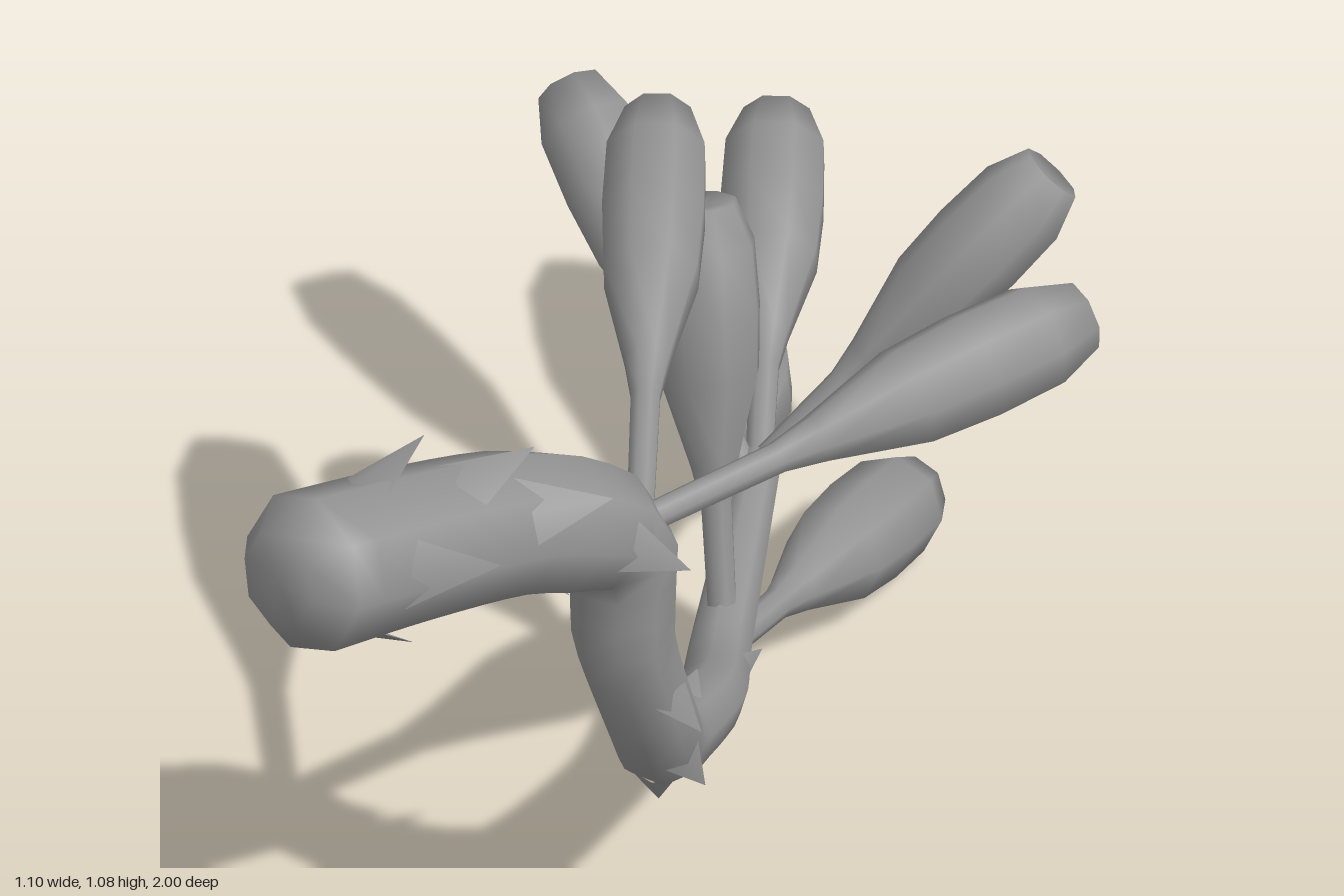
import * as THREE from 'three';
import { mergeGeometries, toCreasedNormals } from 'three/addons/utils/BufferGeometryUtils.js';

const V = (x, y, z) => new THREE.Vector3(x, y, z);
const UP = V(0, 1, 0);
const SIDES = 8;
const RINGS = 40;

// centreline of the main stem, from the blunt end to the last fork
const stemCurve = new THREE.CatmullRomCurve3([
  V(-0.125, 0.985, 0.975), V(-0.04, 0.935, 0.77), V(0.04, 0.875, 0.58), V(0.12, 0.775, 0.425),
  V(0.125, 0.6, 0.41), V(0.13, 0.42, 0.335), V(0.11, 0.315, 0.25), V(0.07, 0.225, 0.02),
  V(0.01, 0.19, -0.14), V(-0.08, 0.265, -0.45),
], false, 'catmullrom', 0.35);

// stem radius along its length: [fraction, radius]
const TAPER = [[0, 0.068], [0.025, 0.114], [0.28, 0.1], [0.37, 0.073], [0.55, 0.066], [0.65, 0.054], [0.82, 0.044], [1, 0.032]];
function stemRadius(u) {
  const i = Math.max(1, TAPER.findIndex(([f]) => f >= u));
  const [a, ra] = TAPER[i - 1], [b, rb] = TAPER[i];
  return THREE.MathUtils.mapLinear(u, a, b, ra, rb);
}

// bud outline from stalk to dented tip: [fraction of length, radius]
const BUD = [[0, 0.02], [0.3, 0.022], [0.39, 0.034], [0.6, 0.071], [0.75, 0.077], [0.9, 0.074], [1, 0.05], [0.985, 0]];

// buds: base, tip, thickness factor
const BUDS = [
  [V(0.15, 0.79, 0.39), V(0.52, 0.858, -0.2), 1.02],
  [V(0.14, 0.79, 0.39), V(-0.145, 0.94, -0.27), 0.97],
  [V(0.0, 0.19, -0.17), V(-0.112, 0.765, -0.335), 1],
  [V(0.015, 0.19, -0.12), V(0.018, 0.065, -0.73), 1],
  [V(-0.06, 0.25, -0.4), V(-0.51, 0.55, -0.765), 0.94],
  [V(-0.07, 0.26, -0.43), V(-0.3, 0.43, -0.975), 0.97],
  [V(-0.06, 0.25, -0.4), V(-0.315, 0.125, -0.87), 0.97],
  [V(-0.08, 0.26, -0.43), V(0.225, 0.655, -0.735), 0.92],
];

// pointed scales: fraction along the stem, outward direction
const SCALES = [
  [0.09, V(0.2, -1, 0)], [0.1, V(1, 0.1, 0)], [0.1, V(-0.3, 1, 0)], [0.16, V(-1, -0.2, 0)],
  [0.17, V(0.3, 1, 0)], [0.2, V(-0.5, -1, 0)], [0.22, V(1, 0.6, 0)], [0.3, V(-0.6, -1, 0.4)],
  [0.32, V(1, 0, 0.3)], [0.4, V(0.2, 0, -1)], [0.47, V(-0.2, 0, -1)], [0.49, V(1, 0, 0.2)],
  [0.57, V(1, -0.2, 0.4)], [0.6, V(0, -1, 0.3)], [0.66, V(0, 1, 0)], [0.72, V(-1, 0, 0)],
  [0.74, V(0, -1, 0)], [0.8, V(1, 0.2, 0)], [0.86, V(0, -1, 0)],
];

// tapered tube closed by a small disc at the blunt end, shaded as one soft surface
function makeStem() {
  const tube = new THREE.TubeGeometry(stemCurve, RINGS, 1, SIDES);
  const pos = tube.attributes.position, nor = tube.attributes.normal;
  const v = V(0, 0, 0);
  for (let i = 0; i < pos.count; i++) {
    const u = Math.floor(i / (SIDES + 1)) / RINGS;
    v.fromBufferAttribute(nor, i).multiplyScalar(stemRadius(u)).add(stemCurve.getPointAt(u));
    pos.setXYZ(i, v.x, v.y, v.z);
  }
  const back = stemCurve.getTangentAt(0).negate();
  const n = V(0, 0, 0).fromBufferAttribute(nor, 0);
  const basis = new THREE.Matrix4().makeBasis(n, V(0, 0, 0).crossVectors(back, n), back);
  const cap = new THREE.CircleGeometry(stemRadius(0), SIDES).applyMatrix4(basis.setPosition(stemCurve.getPointAt(0)));
  return toCreasedNormals(mergeGeometries([tube, cap]), 1.4);
}

function makeBud(length, thick) {
  return new THREE.LatheGeometry(BUD.map(([f, r]) => new THREE.Vector2(r * thick, f * length)), SIDES);
}

// a thin triangular flake lying on the bark with its tip lifted
function makeScale(u, out) {
  const p = stemCurve.getPointAt(u), t = stemCurve.getTangentAt(u), r = stemRadius(u);
  const o = out.clone().addScaledVector(t, -out.dot(t)).normalize();
  const side = V(0, 0, 0).crossVectors(t, o);
  const at = (along, lift, across) => p.clone().addScaledVector(t, along).addScaledVector(o, lift).addScaledVector(side, across);
  const w = r * 0.5;
  const geo = new THREE.BufferGeometry().setFromPoints([
    at(-r * 0.4, r * 0.78, -w), at(-r * 0.4, r * 0.78, w), at(r * 0.8, r * 1.32, 0), at(-r * 0.4, r * 0.95, 0),
  ]);
  geo.setIndex([0, 3, 2, 3, 1, 2]);
  geo.computeVertexNormals();
  return geo;
}

export function createModel() {
  const group = new THREE.Group();
  group.name = 'buddingBranch';
  const bark = new THREE.MeshStandardMaterial({ color: 0x949494 });
  const flake = new THREE.MeshStandardMaterial({ color: 0x949494, side: THREE.DoubleSide });
  const add = (geo, name, material) => {
    const mesh = new THREE.Mesh(geo, material);
    mesh.name = name;
    group.add(mesh);
    return mesh;
  };

  // main stem
  add(makeStem(), 'stem', bark);

  // stalked buds
  BUDS.forEach(([base, tip, thick], i) => {
    const dir = tip.clone().sub(base);
    const bud = add(makeBud(dir.length(), thick), `bud${i + 1}`, bark);
    bud.position.copy(base);
    bud.quaternion.setFromUnitVectors(UP, dir.normalize());
  });

  // bark scales
  SCALES.forEach(([u, out], i) => add(makeScale(u, out), `barkScale${i + 1}`, flake));

  // rest on the ground, centred
  const box = new THREE.Box3().setFromObject(group, true);
  const c = box.getCenter(V(0, 0, 0));
  group.children.forEach((m) => m.position.sub(V(c.x, box.min.y, c.z)));
  return group;
}
